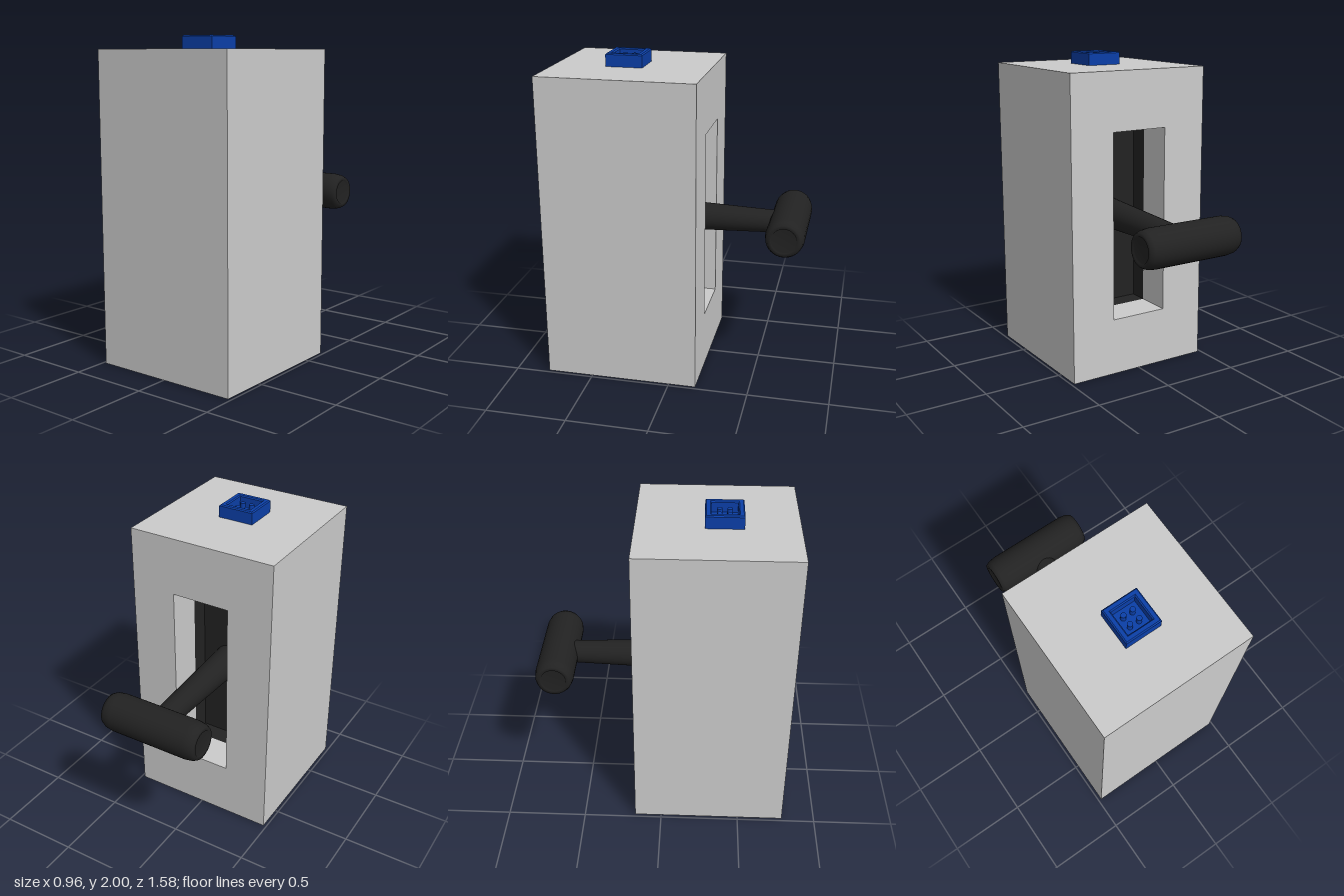
import * as THREE from 'three';
import { mergeGeometries } from 'three/addons/utils/BufferGeometryUtils.js';

const grey = new THREE.MeshStandardMaterial({ color: 0xcccccc });
const black = new THREE.MeshStandardMaterial({ color: 0x222222 });
const blue = new THREE.MeshStandardMaterial({ color: 0x0b3fa8 });

const WIDTH = 0.96, HEIGHT = 1.92, BACK = -0.17, FRONT = 0.79;
const SLOT_W = 0.376, SLOT_H = 1.19, MID_Y = 0.96;
const TRAY_Z = 0.06, TRAY_END = 0.18;

// Box from z0 to z1 keeping only its first `faces` sides (order +x -x +y -y +z -z)
function openBox(w, h, z0, z1, faces, inward = false) {
  const g = new THREE.BoxGeometry(w, h, z1 - z0);
  g.clearGroups();
  const index = Array.from(g.index.array).slice(0, faces * 6);
  g.setIndex(inward ? index.reverse() : index);
  g.computeVertexNormals();
  return g.translate(0, MID_Y, (z0 + z1) / 2);
}

// Closed rectangle outline
function rect(ShapeType, w, h) {
  const a = w / 2, b = h / 2;
  return new ShapeType([[-a, -b], [a, -b], [a, b], [-a, b]].map(([x, y]) => new THREE.Vector2(x, y)));
}

function addMesh(parent, name, geometry, material) {
  const mesh = new THREE.Mesh(geometry, material);
  mesh.name = name;
  parent.add(mesh);
  return mesh;
}

export function createModel() {
  const model = new THREE.Group();
  model.name = 'leverBox';

  // Housing: box whose rear face has a tall slot with grey walls
  const rear = rect(THREE.Shape, WIDTH, HEIGHT);
  rear.holes.push(rect(THREE.Path, SLOT_W, SLOT_H));
  const rearFace = new THREE.ShapeGeometry(rear).rotateY(Math.PI).translate(0, MID_Y, BACK);
  addMesh(model, 'housing', mergeGeometries([
    openBox(WIDTH, HEIGHT, BACK, FRONT, 5),
    rearFace,
    openBox(SLOT_W, SLOT_H, BACK, TRAY_Z, 4, true),
  ]), grey);

  // Dark tray at the bottom of the slot
  addMesh(model, 'slotTray', openBox(SLOT_W, SLOT_H, TRAY_Z, TRAY_END, 5, true), black);

  // Lever: tapered stem and a crosswise grip with rounded, dished ends
  const lever = new THREE.Group();
  lever.name = 'lever';
  lever.position.set(0, 0.965, 0);
  model.add(lever);

  const stemEnd = -0.65;
  const stem = new THREE.CylinderGeometry(0.098, 0.068, TRAY_END - stemEnd, 32);
  stem.rotateX(Math.PI / 2).translate(0, 0, (TRAY_END + stemEnd) / 2);
  addMesh(lever, 'leverStem', stem, black);

  const end = [[0, 0.317], [0.075, 0.317], [0.078, 0.325], [0.1, 0.325], [0.113, 0.3], [0.12, 0.255]];
  const profile = [...end.map(([r, x]) => [r, -x]), ...end.slice().reverse()];
  const grip = new THREE.LatheGeometry(profile.map(([r, x]) => new THREE.Vector2(r, x)), 32);
  grip.rotateZ(-Math.PI / 2);
  addMesh(lever, 'leverGrip', grip, black).position.z = -0.67;

  // Square socket on top with four contact pins
  const socket = new THREE.Group();
  socket.name = 'socket';
  socket.position.set(0, HEIGHT, 0.35);
  model.add(socket);

  const bevel = 0.007;
  const rim = rect(THREE.Shape, 0.228 - 2 * bevel, 0.228 - 2 * bevel);
  rim.holes.push(rect(THREE.Path, 0.156 + 2 * bevel, 0.156 + 2 * bevel));
  const rimGeometry = new THREE.ExtrudeGeometry(rim, {
    depth: 0.08 - bevel, bevelEnabled: true, bevelSize: bevel, bevelThickness: bevel, bevelSegments: 1,
  });
  addMesh(socket, 'socketRim', rimGeometry.rotateX(-Math.PI / 2), blue);
  addMesh(socket, 'socketFloor', new THREE.BoxGeometry(0.17, 0.012, 0.17).translate(0, 0.006, 0), blue);

  for (const x of [-0.03, 0.03]) {
    for (const z of [-0.03, 0.03]) {
      const pin = new THREE.CylinderGeometry(0.016, 0.016, 0.05, 16);
      addMesh(socket, 'socketPin', pin, blue).position.set(x, 0.035, z);
    }
  }

  return model;
}
